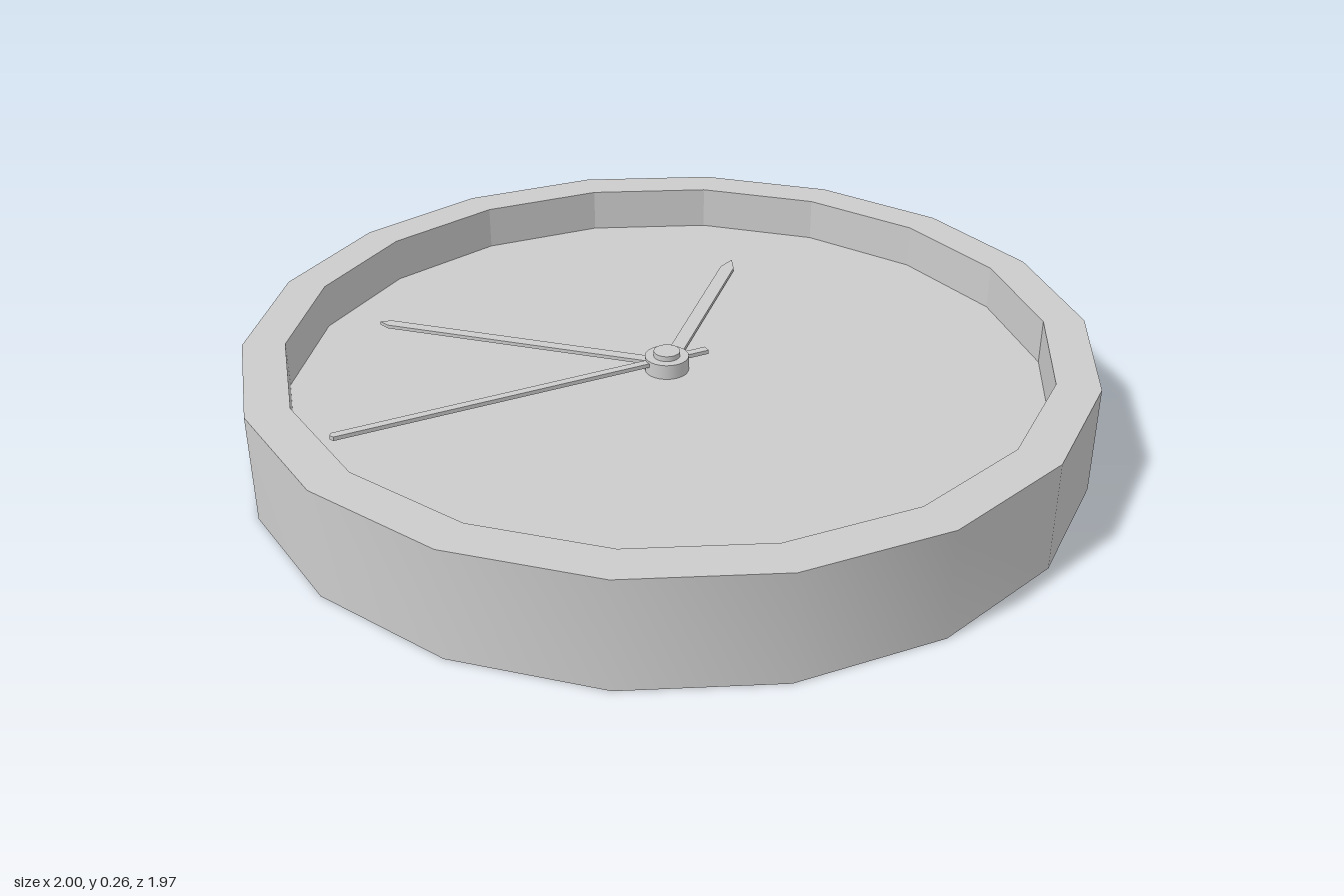
import * as THREE from 'three';
import { toCreasedNormals } from 'three/addons/utils/BufferGeometryUtils.js';

const SIDES = 18;
const FLOOR = 0.15;

export function createModel() {
  const model = new THREE.Group();
  model.name = 'wallClock';
  const grey = new THREE.MeshStandardMaterial({ color: 0xcccccc });
  grey.name = 'plain grey';

  const add = (name, geometry, parent = model) => {
    const mesh = new THREE.Mesh(geometry, grey);
    mesh.name = name;
    parent.add(mesh);
    return mesh;
  };

  // Eighteen-sided surface of revolution with a corner on the x axis
  const lathe = (profile, crease) => toCreasedNormals(
    new THREE.LatheGeometry(profile.map(([r, y]) => new THREE.Vector2(r, y)), SIDES, Math.PI / 2), crease);

  // Case: smooth outside, faceted recess inside
  add('case', lathe([[0, 0], [1, 0], [1, 0.26], [0.9, 0.26]], 0.5));
  add('dialRecess', lathe([[0.9, 0.26], [0.9, FLOOR], [0, FLOOR]], 0.1));

  // Hands and hub share one slightly offset pivot
  const movement = new THREE.Group();
  movement.name = 'movement';
  movement.position.set(-0.012, FLOOR, -0.02);
  model.add(movement);

  // Flat pointed hand, drawn towards twelve and turned about the pivot
  const addHand = (name, { length, tail = 0, width, point, y, thickness, angle }) => {
    const w = width / 2;
    const shape = new THREE.Shape([
      [-w, -tail], [w, -tail], [w, length - point], [0, length], [-w, length - point],
    ].map(([a, b]) => new THREE.Vector2(a, b)));
    const geometry = new THREE.ExtrudeGeometry(shape, { depth: thickness, bevelEnabled: false });
    geometry.rotateX(-Math.PI / 2);
    const hand = add(name, geometry, movement);
    hand.position.y = y;
    hand.rotation.y = angle;
  };
  addHand('hourHand', { length: 0.63, width: 0.036, point: 0.05, y: 0.004, thickness: 0.009, angle: 0 });
  addHand('minuteHand', { length: 0.753, width: 0.027, point: 0.025, y: 0.013, thickness: 0.009, angle: Math.PI / 2 });
  addHand('secondHand', { length: 0.83, tail: 0.108, width: 0.02, point: 0.006, y: 0.021, thickness: 0.01, angle: 2.313 });

  // Hub and cap
  const addDisc = (name, radius, bottom, top) => {
    const geometry = new THREE.CylinderGeometry(radius, radius, top - bottom, 24);
    add(name, geometry, movement).position.y = (bottom + top) / 2;
  };
  addDisc('hub', 0.053, 0, 0.037);
  addDisc('hubCap', 0.032, 0.037, 0.05);

  return model;
}
